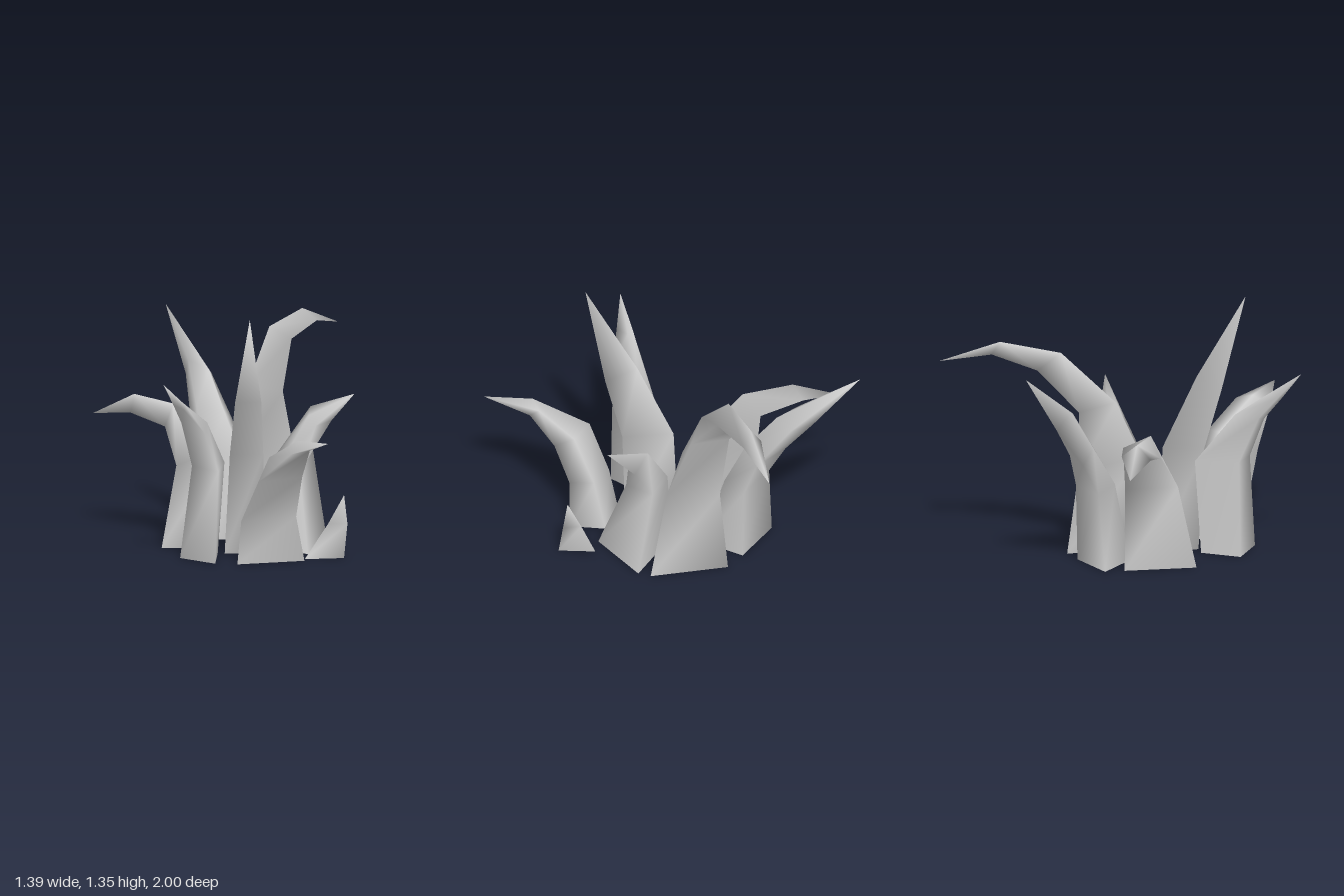
import * as THREE from 'three';

const blade = new THREE.MeshStandardMaterial({ color: 0xcccccc, side: THREE.DoubleSide });
blade.name = 'bladeGrey';

// Skins a blade from equal-sided cross-sections up to a pointed tip; the base stays open.
function makeBlade(name, rings, tip) {
  const n = rings[0].length;
  let area = 0;
  rings[0].forEach(([x, , z], i) => {
    const [x2, , z2] = rings[0][(i + 1) % n];
    area += x * z2 - x2 * z;
  });
  // Corners run anticlockwise seen from above, so faces point outward
  const loops = area > 0 ? rings.map((r) => [...r].reverse()) : rings;
  const index = [];
  const apex = loops.length * n;
  loops.forEach((ring, j) => {
    for (let i = 0; i < n; i++) {
      const a = j * n + i, b = j * n + (i + 1) % n;
      if (j === loops.length - 1) index.push(a, b, apex);
      else index.push(a, b, b + n, a, b + n, a + n);
    }
  });
  const geometry = new THREE.BufferGeometry();
  geometry.setAttribute('position', new THREE.Float32BufferAttribute([...loops.flat(2), ...tip], 3));
  geometry.setIndex(index);
  geometry.computeVertexNormals();
  const mesh = new THREE.Mesh(geometry, blade);
  mesh.name = name;
  return mesh;
}

export function createModel() {
  const group = new THREE.Group();
  group.name = 'grassClump';
  const add = (name, rings, tip) => group.add(makeBlade(name, rings, tip));

  // Long blade arching over to the back left
  add('backLeftBlade', [
    [[0.05, 0, -0.08], [0.48, 0, -0.10], [0.21, 0, -0.43]],
    [[0.04, 0.53, -0.06], [0.33, 0.45, -0.12], [0.19, 0.45, -0.37]],
    [[0.08, 0.84, -0.20], [0.28, 0.80, -0.24], [0.14, 0.80, -0.40]],
    [[0.24, 1.12, -0.45], [0.36, 1.05, -0.44], [0.28, 1.03, -0.575]],
    [[0.46, 1.17, -0.70], [0.54, 1.10, -0.70], [0.45, 1.11, -0.76]],
  ], [0.695, 1.045, -0.94]);

  // Straight blade leaning back
  add('backBlade', [
    [[-0.09, 0, -0.22], [0.07, 0, -0.19], [0.08, 0, -0.45], [-0.22, 0, -0.47]],
    [[-0.12, 0.45, -0.34], [0.06, 0.45, -0.33], [0.08, 0.42, -0.46], [-0.17, 0.42, -0.48]],
    [[-0.15, 0.68, -0.50], [-0.01, 0.66, -0.42], [0.05, 0.60, -0.52], [-0.17, 0.60, -0.58]],
    [[-0.17, 0.91, -0.66], [-0.07, 0.87, -0.58], [-0.04, 0.83, -0.68], [-0.17, 0.82, -0.75]],
  ], [-0.24, 1.16, -1.0]);

  // Drooping blade at the back right
  add('backRightBlade', [
    [[-0.42, 0, -0.01], [-0.12, 0, 0.05], [-0.26, 0, -0.37]],
    [[-0.33, 0.44, -0.07], [-0.09, 0.52, -0.06], [-0.25, 0.45, -0.36]],
    [[-0.37, 0.63, -0.21], [-0.32, 0.75, -0.24], [-0.26, 0.69, -0.38]],
    [[-0.53, 0.68, -0.38], [-0.50, 0.77, -0.45], [-0.47, 0.71, -0.53]],
  ], [-0.695, 0.64, -0.625]);

  // Curved blade at the front right
  add('frontRightBlade', [
    [[-0.37, 0, 0.31], [-0.18, 0, 0.18], [-0.15, 0, 0.22], [-0.21, 0, 0.51]],
    [[-0.31, 0.51, 0.34], [-0.15, 0.51, 0.16], [-0.11, 0.50, 0.20], [-0.19, 0.50, 0.49]],
    [[-0.38, 0.76, 0.42], [-0.27, 0.77, 0.34], [-0.23, 0.75, 0.36], [-0.27, 0.72, 0.53]],
    [[-0.44, 0.88, 0.51], [-0.39, 0.89, 0.47], [-0.37, 0.87, 0.49], [-0.39, 0.86, 0.57]],
  ], [-0.51, 1.01, 0.61]);

  // Tallest blade in the middle
  add('tallBlade', [
    [[-0.11, 0, 0.21], [0.11, 0, 0.25], [-0.03, 0, 0.0]],
    [[-0.09, 0.55, 0.26], [0.09, 0.55, 0.28], [-0.03, 0.58, 0.03]],
    [[-0.08, 0.86, 0.38], [0.06, 0.86, 0.40], [-0.03, 0.94, 0.25]],
  ], [-0.03, 1.345, 0.57]);

  // Wide blade bending forward
  add('frontBlade', [
    [[-0.095, 0, 0.55], [0.28, 0, 0.50], [0.21, 0, 0.32], [0.09, 0, 0.29]],
    [[-0.075, 0.24, 0.56], [0.23, 0.25, 0.53], [0.21, 0.28, 0.39], [0.09, 0.30, 0.36]],
    [[0.0, 0.47, 0.67], [0.25, 0.48, 0.61], [0.23, 0.55, 0.50], [0.09, 0.57, 0.48]],
    [[0.15, 0.65, 0.85], [0.27, 0.65, 0.75], [0.26, 0.69, 0.70], [0.20, 0.71, 0.77]],
  ], [0.33, 0.73, 1.0]);

  // Blade flicking out to the left
  add('leftBlade', [
    [[0.11, 0, 0.04], [0.33, 0, 0.30], [0.49, 0, -0.03], [0.11, 0, -0.03]],
    [[0.22, 0.45, 0.04], [0.31, 0.42, 0.14], [0.42, 0.50, -0.08], [0.21, 0.48, -0.06]],
    [[0.38, 0.71, 0.02], [0.41, 0.66, 0.07], [0.51, 0.67, -0.02], [0.40, 0.75, -0.04]],
  ], [0.62, 0.835, 0.09]);

  // Small sprout at the front left
  add('smallSprout', [
    [[0.29, 0, 0.45], [0.505, 0, 0.45], [0.42, 0, 0.27]],
    [[0.42, 0.19, 0.44], [0.53, 0.18, 0.41], [0.47, 0.18, 0.33]],
  ], [0.515, 0.335, 0.39]);

  return group;
}
